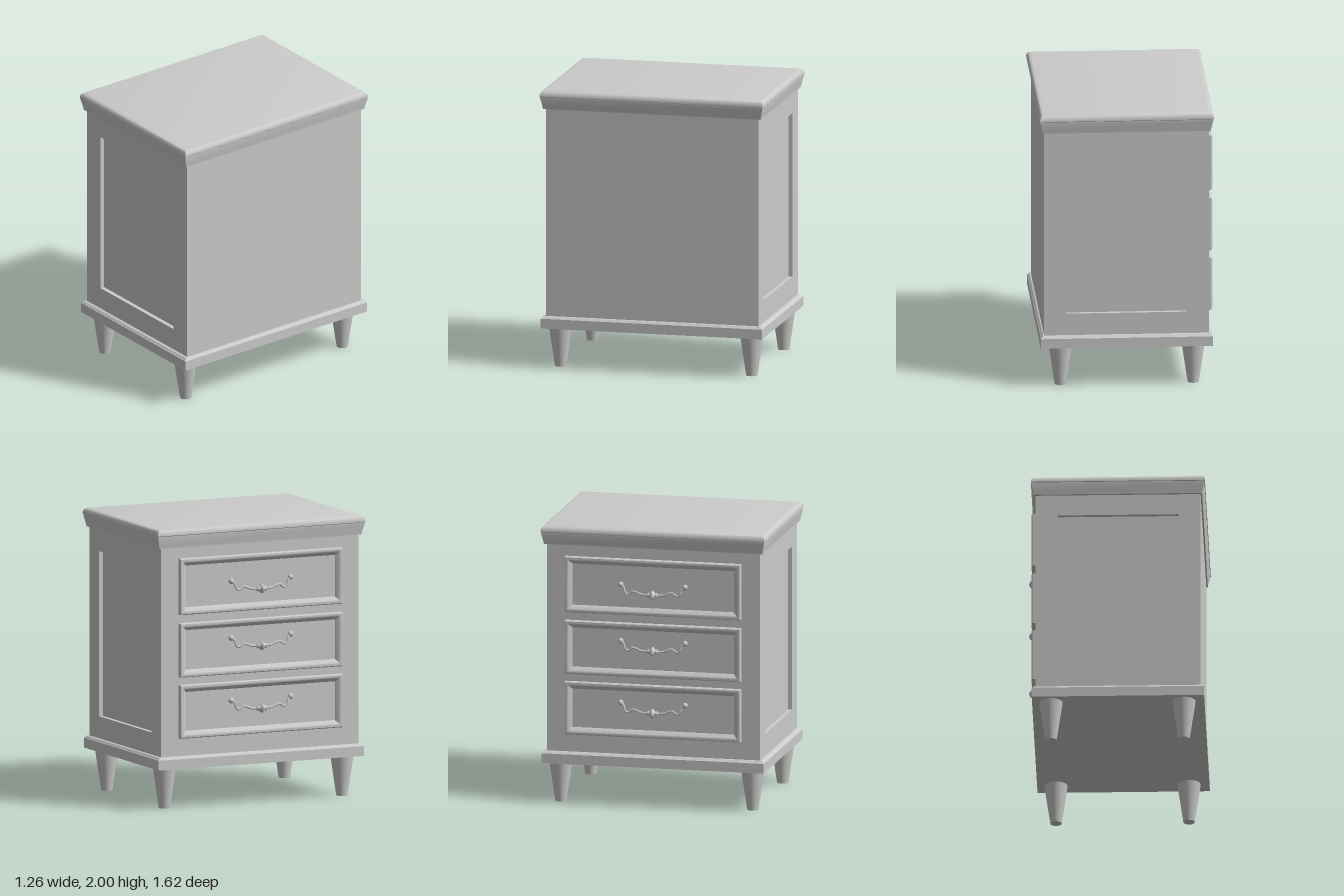
import * as THREE from 'three';
import { toCreasedNormals } from 'three/addons/utils/BufferGeometryUtils.js';

const material = new THREE.MeshStandardMaterial({ color: 0xcccccc, side: THREE.DoubleSide });
const CX = 0.015; // the case sits slightly off centre because the handles project

function mesh(name, geometry, x = 0, y = 0, z = 0) {
  const m = new THREE.Mesh(geometry, material);
  m.name = name;
  m.position.set(x, y, z);
  return m;
}

// Solid moulding: rectangular rings, each given as [outward offset, height], capped at both ends
function moulding(halfX, halfZ, profile) {
  const pos = [];
  const rings = profile.map(([o, y]) => [
    [halfX + o, y, halfZ + o], [halfX + o, y, -halfZ - o],
    [-halfX - o, y, -halfZ - o], [-halfX - o, y, halfZ + o],
  ]);
  const quad = (a, b, c, d) => pos.push(...a, ...b, ...c, ...a, ...c, ...d);
  for (let i = 0; i < rings.length - 1; i++) {
    for (let k = 0; k < 4; k++) {
      const n = (k + 1) % 4;
      quad(rings[i][k], rings[i][n], rings[i + 1][n], rings[i + 1][k]);
    }
  }
  const first = rings[0], last = rings[rings.length - 1];
  quad(first[3], first[2], first[1], first[0]);
  quad(last[0], last[1], last[2], last[3]);
  const g = new THREE.BufferGeometry();
  g.setAttribute('position', new THREE.Float32BufferAttribute(pos, 3));
  return toCreasedNormals(g, 0.6);
}

// Side frame with a rectangular opening that leaves a sunken panel
function sideFrame(depth) {
  const rect = (T, x0, y0, x1, y1) => {
    const s = new T();
    s.moveTo(x0, y0); s.lineTo(x1, y0); s.lineTo(x1, y1); s.lineTo(x0, y1); s.closePath();
    return s;
  };
  const shape = rect(THREE.Shape, -0.566, 0.36, 0.596, 1.88);
  shape.holes.push(rect(THREE.Path, -0.41, 0.535, 0.44, 1.71));
  return new THREE.ExtrudeGeometry(shape, { depth, bevelEnabled: false });
}

// Handle in the plane of the drawer face: turned bead, two curling arms, end knobs
function handle() {
  const g = new THREE.Group();
  g.name = 'handle';
  const bead = [[0, -0.042], [0.012, -0.04], [0.02, -0.03], [0.012, -0.022], [0.022, -0.014],
    [0.034, -0.004], [0.034, 0.004], [0.022, 0.014], [0.012, 0.022], [0.02, 0.03], [0.012, 0.04], [0, 0.042]];
  const beadGeo = new THREE.LatheGeometry(bead.map(p => new THREE.Vector2(...p)), 20);
  beadGeo.rotateX(Math.PI / 2);
  g.add(mesh('handleBead', beadGeo));
  for (const s of [-1, 1]) {
    const path = new THREE.CatmullRomCurve3([
      [0, 0, 0.03], [0, 0.003, 0.08], [0, 0.018, 0.12], [0, 0.022, 0.145], [0, 0.006, 0.165],
      [0, 0.002, 0.185], [0, 0.018, 0.2], [0.004, 0.05, 0.21], [0.008, 0.066, 0.235],
    ].map(([x, y, z]) => new THREE.Vector3(x, y, z * s)));
    g.add(mesh('handleArm', new THREE.TubeGeometry(path, 40, 0.008, 8)));
    g.add(mesh('handleKnob', new THREE.SphereGeometry(0.02, 14, 10), 0.012, 0.066, 0.232 * s));
    const post = new THREE.CylinderGeometry(0.01, 0.014, 0.03, 10);
    post.rotateZ(Math.PI / 2);
    g.add(mesh('handlePost', post, 0.02, 0.066, 0.232 * s));
  }
  return g;
}

export function createModel() {
  const model = new THREE.Group();
  model.name = 'bedsideCabinet';

  // Case with framed panels on both broad ends
  const recess = 0.03;
  model.add(mesh('caseCore', new THREE.BoxGeometry(1.162, 1.52, 1.54 - 2 * recess), CX, 1.12, 0));
  model.add(mesh('panelFrame', sideFrame(recess), 0, 0, 0.77 - recess));
  model.add(mesh('panelFrame', sideFrame(recess), 0, 0, -0.77));

  // Plinth and top with moulded edges
  model.add(mesh('plinth', moulding(0.607, 0.803,
    [[0, 0.29], [0, 0.36], [-0.006, 0.364], [-0.012, 0.374], [-0.02, 0.378]]), CX - 0.001, 0, 0));
  model.add(mesh('top', moulding(0.613, 0.809, [
    [-0.02, 1.865], [-0.018, 1.88], [-0.004, 1.942], [-0.004, 1.952], [0, 1.956],
    [0, 1.968], [-0.005, 1.982], [-0.014, 1.993], [-0.025, 1.998], [-0.036, 2],
  ]), CX - 0.001, 0, 0));

  // Tapered legs
  for (const x of [-0.46, 0.477]) for (const z of [-0.693, 0.693]) {
    model.add(mesh('leg', new THREE.CylinderGeometry(0.084, 0.04, 0.3, 28), x, 0.15, z));
  }

  // Drawer fronts, each with a rounded raised rim and a sunken field
  const drawers = [[1.385, 1.785, 1.535], [0.94, 1.325, 1.13], [0.505, 0.885, 0.685]];
  for (const [low, high, handleY] of drawers) {
    const front = moulding((high - low) / 2, 0.635, [
      [0, -0.005], [0, 0.026], [-0.006, 0.033], [-0.016, 0.035], [-0.026, 0.032],
      [-0.034, 0.024], [-0.044, 0.018], [-0.052, 0.008],
    ]);
    front.rotateZ(Math.PI / 2);
    model.add(mesh('drawerFront', front, -0.565, (low + high) / 2, 0));
    const h = handle();
    h.position.set(-0.597, handleY, 0);
    model.add(h);
  }
  return model;
}
